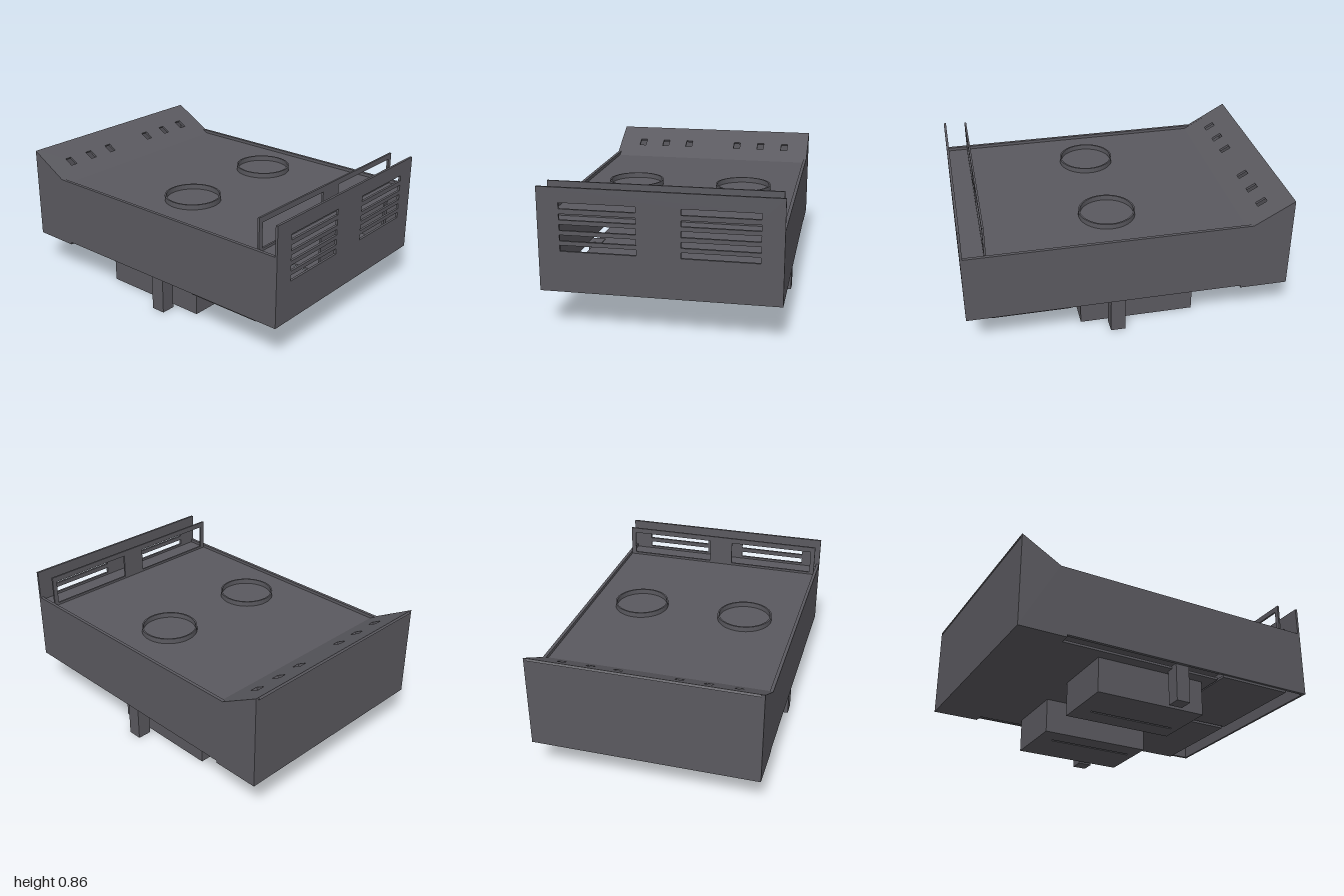
import * as THREE from 'three';

export function createModel() {
  const model = new THREE.Group();
  model.name = 'ventedEnclosure';
  const metal = new THREE.MeshStandardMaterial({ color: 0x5a595f });
  metal.name = 'darkGreyMetal';

  function add(name, geometry, parent = model) {
    const mesh = new THREE.Mesh(geometry, metal);
    mesh.name = name;
    parent.add(mesh);
    return mesh;
  }
  // Box given by its lower and upper limits on each axis
  function box(name, x0, x1, y0, y1, z0, z1, parent) {
    const mesh = add(name, new THREE.BoxGeometry(x1 - x0, y1 - y0, z1 - z0), parent);
    mesh.position.set((x0 + x1) / 2, (y0 + y1) / 2, (z0 + z1) / 2);
    return mesh;
  }
  const rect = (a0, a1, b0, b1, Type = THREE.Path) => new Type([
    [a0, b0], [a1, b0], [a1, b1], [a0, b1],
  ].map(([a, b]) => new THREE.Vector2(a, b)));
  const extrude = (shape, depth) => new THREE.ExtrudeGeometry(shape, { depth, bevelEnabled: false });
  // Upright plate facing x, drawn in (z, y)
  function uprightPlate(name, shape, x0, thickness) {
    const geometry = extrude(shape, thickness);
    geometry.rotateY(-Math.PI / 2);
    geometry.translate(x0 + thickness, 0, 0);
    return add(name, geometry);
  }
  // Flat plate drawn in (x, z), rising from y0
  function flatPlate(name, shape, y0, thickness, parent) {
    const geometry = extrude(shape, thickness);
    geometry.rotateX(Math.PI / 2);
    geometry.translate(0, y0 + thickness, 0);
    return add(name, geometry, parent);
  }

  // Side walls with a raised sloping end
  const wall = new THREE.Shape([
    [-1, 0.22], [-0.7, 0.22], [-0.7, 0.235], [0.985, 0.235],
    [0.985, 0.67], [-0.75, 0.67], [-1, 0.81],
  ].map(([x, y]) => new THREE.Vector2(x, y)));
  for (const z of [-0.7, 0.68]) {
    add(z < 0 ? 'backWall' : 'frontWall', extrude(wall, 0.02)).position.z = z;
  }
  box('highEndWall', -1, -0.985, 0.22, 0.8, -0.68, 0.68);

  // Recessed deck
  box('deck', -0.73, 0.985, 0.635, 0.65, -0.68, 0.68);

  // Sloping panel with six small openings
  const rise = 0.16, run = 0.285, length = Math.hypot(rise, run);
  const slope = rect(0, length, -0.68, 0.68, THREE.Shape);
  for (const z of [-0.53, -0.355, -0.18, 0.18, 0.355, 0.53]) {
    slope.holes.push(rect(0.138, 0.203, z - 0.023, z + 0.023));
  }
  const panel = flatPlate('slopingPanel', slope, -0.015, 0.015);
  panel.position.set(-1, 0.81, 0);
  panel.rotation.z = -Math.atan2(rise, run);

  // Louvred end plate
  const louvre = rect(-0.7, 0.7, 0.235, 0.855, THREE.Shape);
  for (const y of [0.48, 0.541, 0.603, 0.665, 0.73]) {
    louvre.holes.push(rect(-0.572, -0.128, y, y + 0.036), rect(0.128, 0.572, y, y + 0.036));
  }
  uprightPlate('louvredPlate', louvre, 0.985, 0.015);

  // Inner frame standing just inside the louvres
  const frame = rect(-0.68, 0.68, 0.235, 0.855, THREE.Shape);
  for (const [y0, y1] of [[0.26, 0.62], [0.665, 0.82]]) {
    frame.holes.push(rect(-0.65, -0.08, y0, y1), rect(0.08, 0.65, y0, y1));
  }
  uprightPlate('innerFrame', frame, 0.849, 0.012);

  // Underside panels, leaving narrow service gaps
  box('endFloor', -0.985, -0.7, 0.22, 0.235, -0.68, 0.68);
  box('mainFloor', -0.7, 0.36, 0.22, 0.235, -0.635, 0.635);

  for (const side of [-1, 1]) {
    const half = new THREE.Group();
    half.name = side < 0 ? 'backHalf' : 'frontHalf';
    model.add(half);
    const span = (a, b) => (side > 0 ? [a, b] : [-b, -a]);

    box('floorPanel', 0.37, 0.85, 0.22, 0.235, ...span(0.015, 0.685), half);

    // Raised circular rim on the deck
    const rim = add('circularRim', new THREE.LatheGeometry([
      [0.165, 0.645], [0.165, 0.682], [0.175, 0.682], [0.175, 0.645],
    ].map(([r, y]) => new THREE.Vector2(r, y)).reverse(), 48), half);
    // Flat top and straight sides
    rim.geometry = rim.geometry.toNonIndexed();
    rim.geometry.computeVertexNormals();
    rim.position.set(0.08, 0, side * 0.35);

    // Hollow foot box with a slit in its base
    box('footWall', -0.43, 0.29, 0.012, 0.225, ...span(0.145, 0.157), half);
    box('footWall', -0.43, 0.29, 0.012, 0.225, ...span(0.548, 0.56), half);
    box('footEnd', -0.43, -0.418, 0.012, 0.225, ...span(0.157, 0.548), half);
    box('footEnd', 0.278, 0.29, 0.012, 0.225, ...span(0.157, 0.548), half);
    const base = rect(-0.43, 0.29, ...span(0.145, 0.56), THREE.Shape);
    base.holes.push(rect(-0.33, 0.24, ...span(0.27, 0.285)));
    flatPlate('footBase', base, 0, 0.012, half);

    // Square outer post
    box('outerPost', 0.03, 0.12, 0, 0.24, ...span(0.59, 0.68), half);
  }
  // Double-sided so the thin sheet metal shows from inside too
  metal.side = THREE.DoubleSide;
  return model;
}
